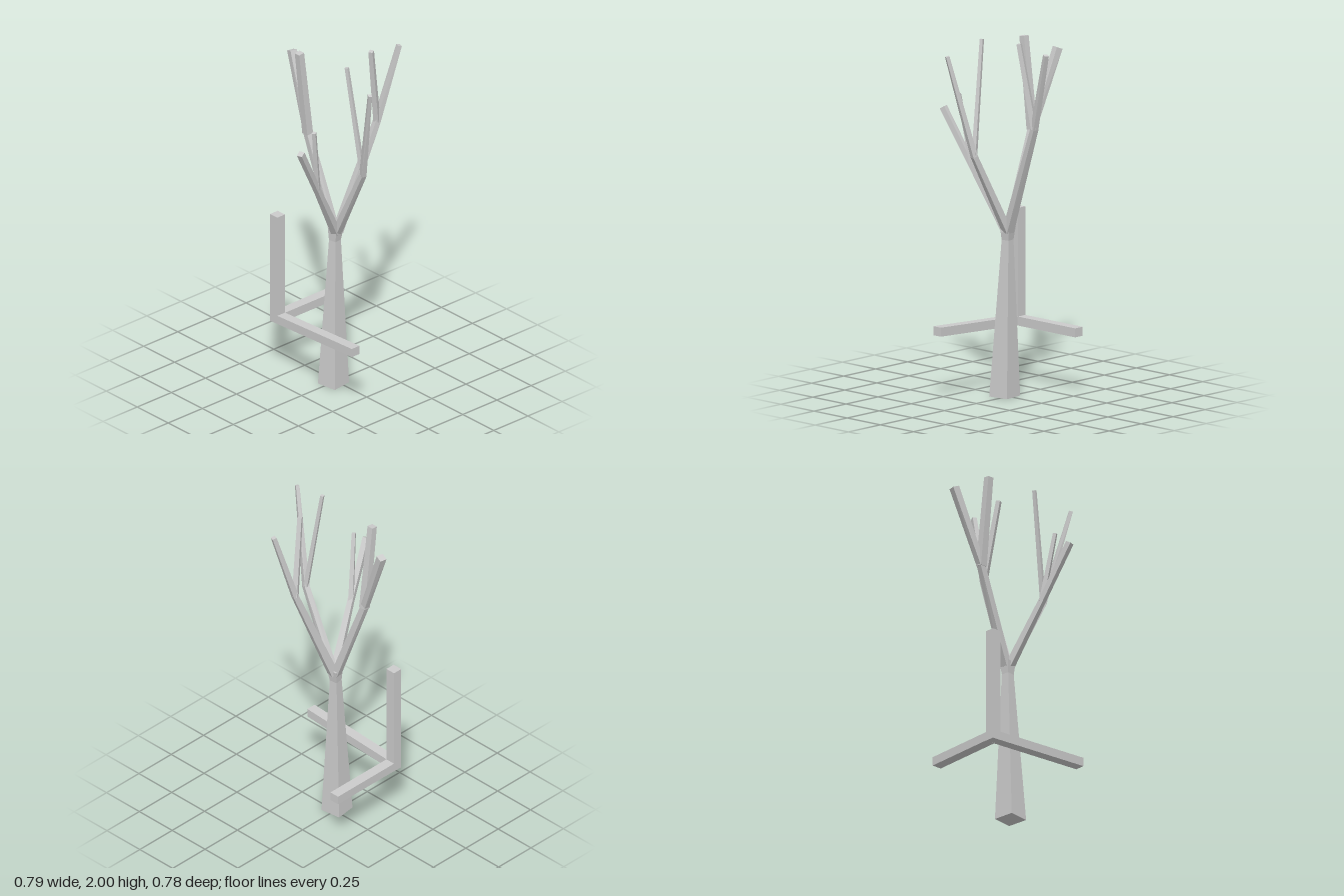
import * as THREE from 'three';

const material = new THREE.MeshStandardMaterial({ color: 0xcccccc, flatShading: true });
const UP = new THREE.Vector3(0, 1, 0);

// Square cross-section around a centre, facing along dir.
function ring(center, dir, half, side) {
  const u = side.clone().multiplyScalar(half);
  const v = dir.clone().cross(side).multiplyScalar(half);
  return [[-1, -1], [1, -1], [1, 1], [-1, 1]].map(([a, b]) =>
    center.clone().addScaledVector(u, a).addScaledVector(v, b));
}

// Closed, flat-faced skin over a row of square sections.
function loft(rings) {
  const pos = [];
  const quad = (a, b, c, d) => [a, b, c, a, c, d].forEach((p) => pos.push(p.x, p.y, p.z));
  for (let r = 0; r + 1 < rings.length; r++) {
    for (let i = 0; i < 4; i++) {
      const j = (i + 1) % 4;
      quad(rings[r][i], rings[r][j], rings[r + 1][j], rings[r + 1][i]);
    }
  }
  quad(...[...rings[0]].reverse());
  quad(...rings[rings.length - 1]);
  const geometry = new THREE.BufferGeometry();
  geometry.setAttribute('position', new THREE.Float32BufferAttribute(pos, 3));
  geometry.computeVertexNormals();
  return geometry;
}

// Tapered square limb through points [x, y, z, half width], mitred at bends.
function limb(points) {
  const p = points.map(([x, y, z]) => new THREE.Vector3(x, y, z));
  const heading = (i) => p[i + 1].clone().sub(p[i]).normalize();
  return loft(p.map((c, i) => {
    const dir = new THREE.Vector3();
    if (i > 0) dir.add(heading(i - 1));
    if (i + 1 < p.length) dir.add(heading(i));
    dir.normalize();
    return ring(c, dir, points[i][3], UP.clone().cross(dir).normalize());
  }));
}

export function createModel() {
  const group = new THREE.Group();
  const add = (name, geometry, parent = group) => {
    const mesh = new THREE.Mesh(geometry, material);
    mesh.name = name;
    parent.add(mesh);
    return mesh;
  };

  // Trunk: narrows upward, then flares slightly into the fork
  const twist = new THREE.Vector3(Math.cos(0.13), 0, -Math.sin(0.13));
  const trunk = [
    [0.006, 0, 0.022, 0.06],
    [0, 0.87, 0.006, 0.023],
    [0.002, 0.945, 0.002, 0.031],
  ];
  add('trunk', loft(trunk.map(([x, y, z, h]) => ring(new THREE.Vector3(x, y, z), UP, h, twist))));

  // Four boughs: each has a root, a knee, a main tip and a side tip
  const boughs = {
    rightBough: [[-0.008, 0.92, 0.002, 0.021], [-0.205, 1.45, 0.02, 0.017],
      [-0.37, 1.882, -0.015, 0.02], [-0.205, 1.96, 0.08, 0.018]],
    leftBough: [[0.01, 0.92, 0, 0.02], [0.243, 1.365, 0.022, 0.015],
      [0.38, 1.932, 0.094, 0.01], [0.15, 2, 0.055, 0.009]],
    backBough: [[0.008, 0.92, -0.006, 0.023], [0.056, 1.53, -0.25, 0.016],
      [0.096, 1.965, -0.376, 0.012], [0.095, 1.998, -0.173, 0.012]],
    frontBough: [[0.01, 0.92, 0.008, 0.02], [0.075, 1.265, 0.2, 0.015],
      [0.125, 1.572, 0.37, 0.016], [0.115, 1.66, 0.262, 0.01]],
  };
  for (const [name, [root, knee, tip, sideTip]] of Object.entries(boughs)) {
    const bough = new THREE.Group();
    bough.name = name;
    add('mainBranch', limb([root, knee, tip]), bough);
    add('sideBranch', limb([[...knee.slice(0, 3), sideTip[3] + 0.003], sideTip]), bough);
    group.add(bough);
  }

  // Corner frame: upright post with a slightly rising rail across the front
  const outline = [[-0.295, 0.33], [0.365, 0.365], [0.365, 0.415],
    [-0.237, 0.383], [-0.237, 0.985], [-0.295, 0.985]];
  const shape = new THREE.Shape(outline.map(([x, y]) => new THREE.Vector2(x, y)));
  const front = new THREE.ExtrudeGeometry(shape, { depth: 0.056, bevelEnabled: false });
  front.translate(0, 0, 0.157);
  add('postAndFrontRail', front);

  // Level rail running back from the post
  add('sideRail', new THREE.BoxGeometry(0.058, 0.05, 0.44)).position.set(-0.266, 0.357, -0.055);

  return group;
}
